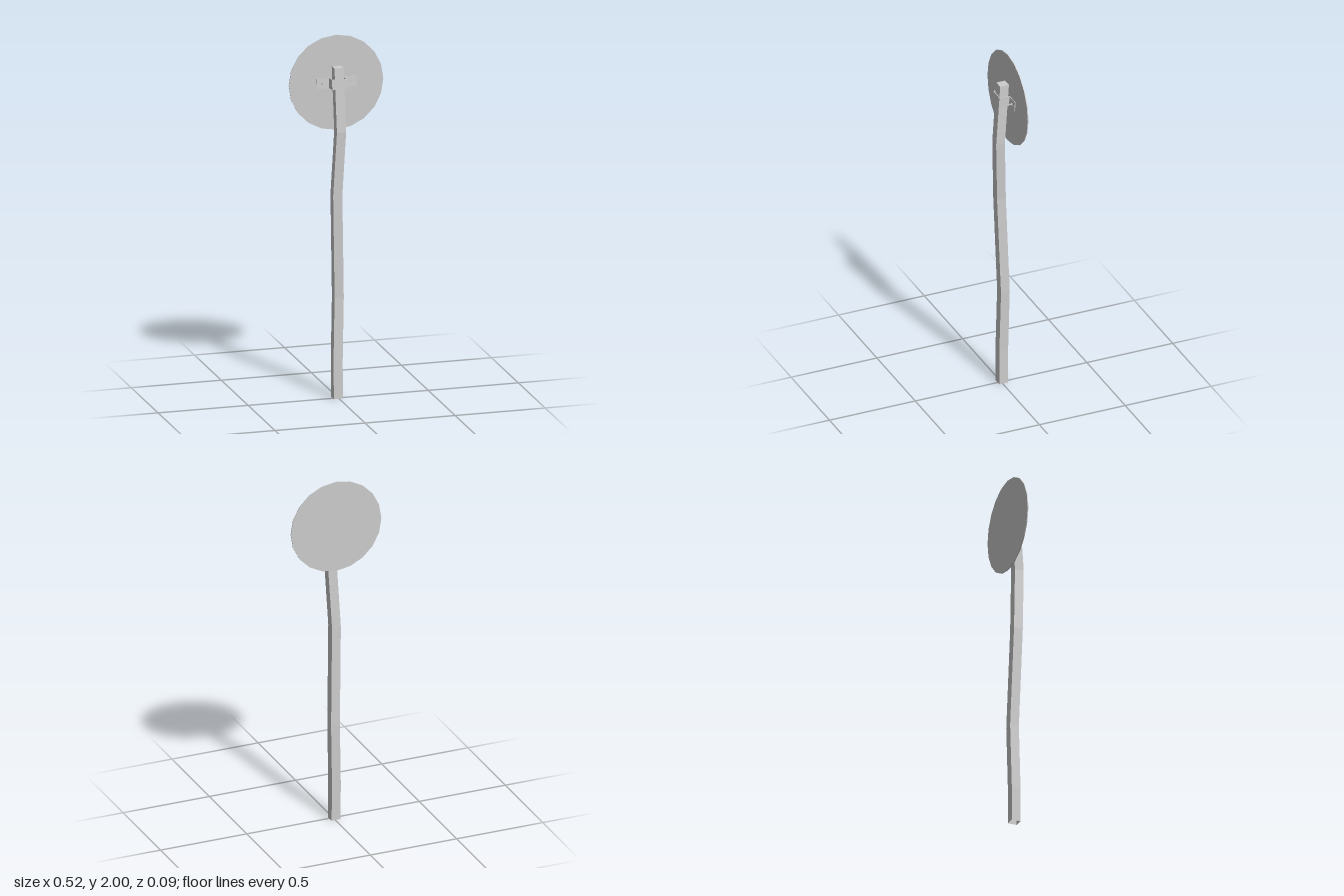
import * as THREE from 'three';

const material = new THREE.MeshStandardMaterial({ color: 0xcccccc, flatShading: true, side: THREE.DoubleSide });

function add(parent, name, geometry, x = 0, y = 0, z = 0) {
  const mesh = new THREE.Mesh(geometry, material);
  mesh.name = name;
  mesh.position.set(x, y, z);
  parent.add(mesh);
  return mesh;
}

// Square post: loft through slightly shifted rings, closed on top, open below
function postGeometry() {
  const rings = [ // height, centre x, centre z
    [0, -0.004, -0.006], [0.2, -0.006, -0.007], [0.56, 0.002, -0.013],
    [1.13, -0.011, 0.004], [1.48, 0.006, 0.017], [1.83, 0, -0.009],
  ];
  const h = 0.0255;
  const corners = [[-h, h], [h, h], [h, -h], [-h, -h]];
  const positions = [];
  const index = [];
  for (const [y, cx, cz] of rings) {
    for (const [dx, dz] of corners) positions.push(cx + dx, y, cz + dz);
  }
  for (let r = 0; r < rings.length - 1; r++) {
    for (let i = 0; i < 4; i++) {
      const a = r * 4 + i, b = r * 4 + (i + 1) % 4;
      index.push(a, b, b + 4, a, b + 4, a + 4);
    }
  }
  const t = (rings.length - 1) * 4;
  index.push(t, t + 1, t + 2, t, t + 2, t + 3);
  const geometry = new THREE.BufferGeometry();
  geometry.setAttribute('position', new THREE.Float32BufferAttribute(positions, 3));
  geometry.setIndex(index);
  const flat = geometry.toNonIndexed();
  flat.computeVertexNormals();
  return flat;
}

// Bent strap: hat profile in plan, extruded upwards, with a bolt hole gap left solid
function strapGeometry() {
  const half = [ // outer then inner outline of the +x side (x, z)
    [0.042, 0.030], [0.042, -0.029], [0.112, -0.029],
    [0.112, -0.033], [0.037, -0.033], [0.037, 0.025],
  ];
  const outer = half.slice(0, 5);
  const inner = half[5];
  const loop = [...outer, inner,
    [-inner[0], inner[1]], ...outer.slice().reverse().map(([x, z]) => [-x, z])];
  const shape = new THREE.Shape(loop.map(([x, z]) => new THREE.Vector2(x, -z)));
  const geometry = new THREE.ExtrudeGeometry(shape, { depth: 0.056, bevelEnabled: false });
  geometry.rotateX(-Math.PI / 2);
  geometry.translate(0, -0.028, 0);
  return geometry;
}

export function createModel() {
  const model = new THREE.Group();
  model.name = 'signPost';

  add(model, 'post', postGeometry());

  // Round sign plate
  const plate = new THREE.CylinderGeometry(0.262, 0.262, 0.005, 20);
  plate.rotateX(Math.PI / 2);
  add(model, 'signPlate', plate, 0, 1.738, -0.0405);

  // Clamp follows the lean of the post
  const clamp = new THREE.Group();
  clamp.name = 'clamp';
  clamp.position.y = 1.742;
  clamp.rotation.x = -0.07;
  model.add(clamp);
  add(clamp, 'strap', strapGeometry());

  for (const side of [-1, 1]) {
    const nut = new THREE.CylinderGeometry(0.007, 0.007, 0.005, 6);
    nut.rotateX(Math.PI / 2);
    add(clamp, 'nut', nut, side * 0.077, 0, -0.0265);
    const bolt = new THREE.CylinderGeometry(0.0035, 0.0035, 0.026, 8);
    bolt.rotateX(Math.PI / 2);
    add(clamp, 'bolt', bolt, side * 0.077, 0, -0.025);
  }
  return model;
}
